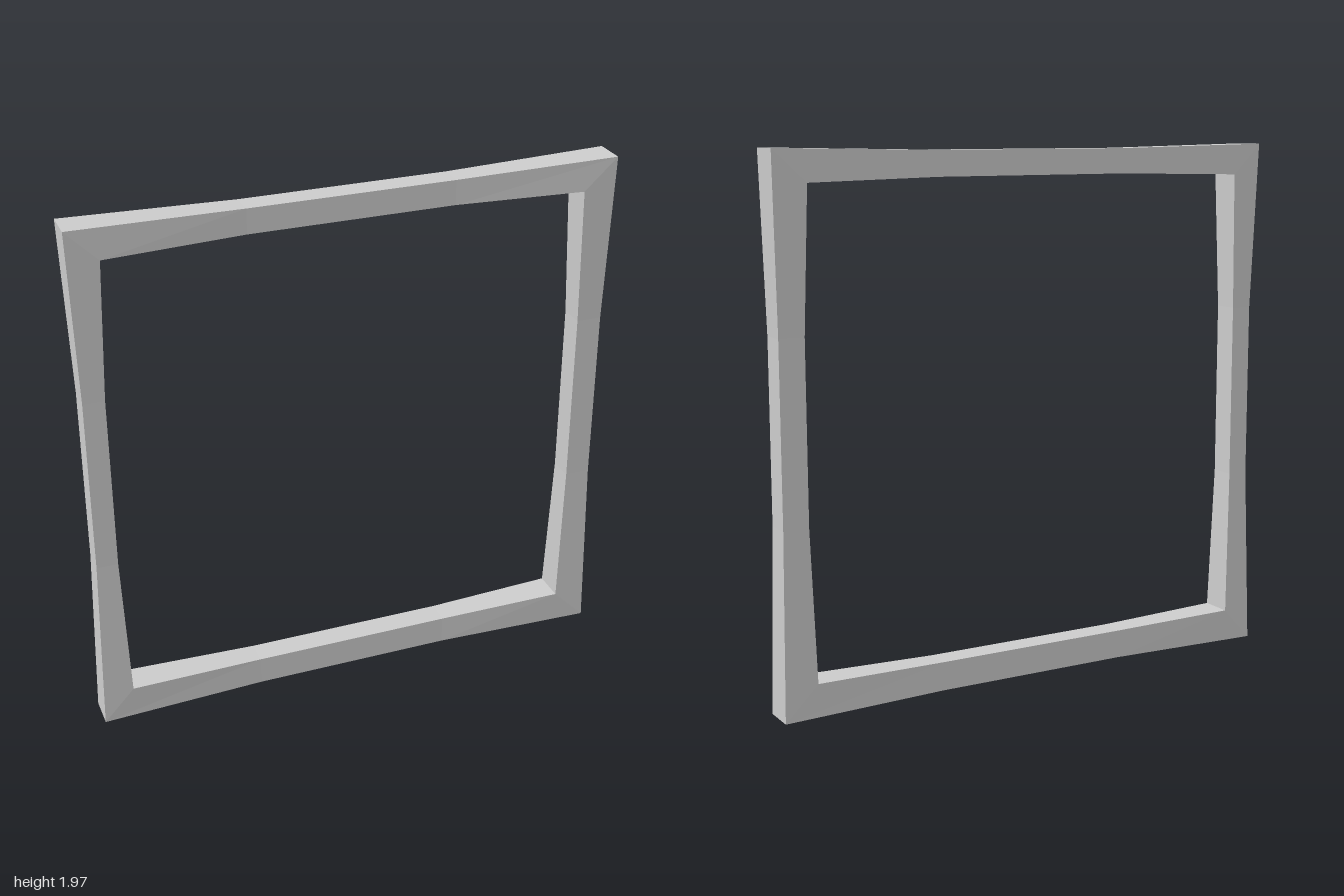
import * as THREE from 'three';

// Stations [outer x, outer y, inner x, inner y, front z, back z], running
// corner to corner along each rail, counter-clockwise seen from the front.
const corner = {
  bl: [-1, 0, -0.885, 0.125, 0.06, -0.062],
  br: [1, 0, 0.875, 0.125, 0.06, -0.062],
  tr: [1, 1.97, 0.875, 1.855, 0.06, -0.062],
  tl: [-1, 1.97, -0.885, 1.855, 0.06, -0.062],
};
const rails = {
  bottomRail: [corner.bl, [-0.38, 0.01, -0.38, 0.117, 0.045, -0.049],
    [0.38, 0.01, 0.38, 0.117, 0.045, -0.049], corner.br],
  leftStile: [corner.br, [0.985, 0.68, 0.89, 0.68, 0.05, -0.047],
    [0.985, 1.34, 0.89, 1.34, 0.05, -0.047], corner.tr],
  topRail: [corner.tr, [0.38, 1.958, 0.38, 1.866, 0.043, -0.049],
    [-0.38, 1.958, -0.38, 1.866, 0.043, -0.049], corner.tl],
  rightStile: [corner.tl, [-0.982, 1.34, -0.903, 1.34, 0.05, -0.047],
    [-0.982, 0.68, -0.903, 0.68, 0.05, -0.047], corner.bl],
};

// Four corners of the cross-section at one station
function section([ox, oy, ix, iy, front, back]) {
  return [[ox, oy, back], [ox, oy, front], [ix, iy, front], [ix, iy, back]];
}

// Four-sided beam joining successive cross-sections, mitred at both ends
function railGeometry(stations) {
  const positions = [];
  const sections = stations.map(section);
  for (let i = 0; i < sections.length - 1; i++) {
    for (let k = 0; k < 4; k++) {
      const n = (k + 1) % 4;
      const a = sections[i][k], b = sections[i + 1][k];
      const c = sections[i + 1][n], d = sections[i][n];
      positions.push(...a, ...b, ...c, ...a, ...c, ...d);
    }
  }
  const geometry = new THREE.BufferGeometry();
  geometry.setAttribute('position', new THREE.Float32BufferAttribute(positions, 3));
  geometry.computeVertexNormals();
  return geometry;
}

export function createModel() {
  const group = new THREE.Group();
  group.name = 'squareFrame';
  const material = new THREE.MeshStandardMaterial({ color: 0xcccccc, flatShading: true });
  for (const [name, stations] of Object.entries(rails)) {
    const mesh = new THREE.Mesh(railGeometry(stations), material);
    mesh.name = name;
    group.add(mesh);
  }
  return group;
}
